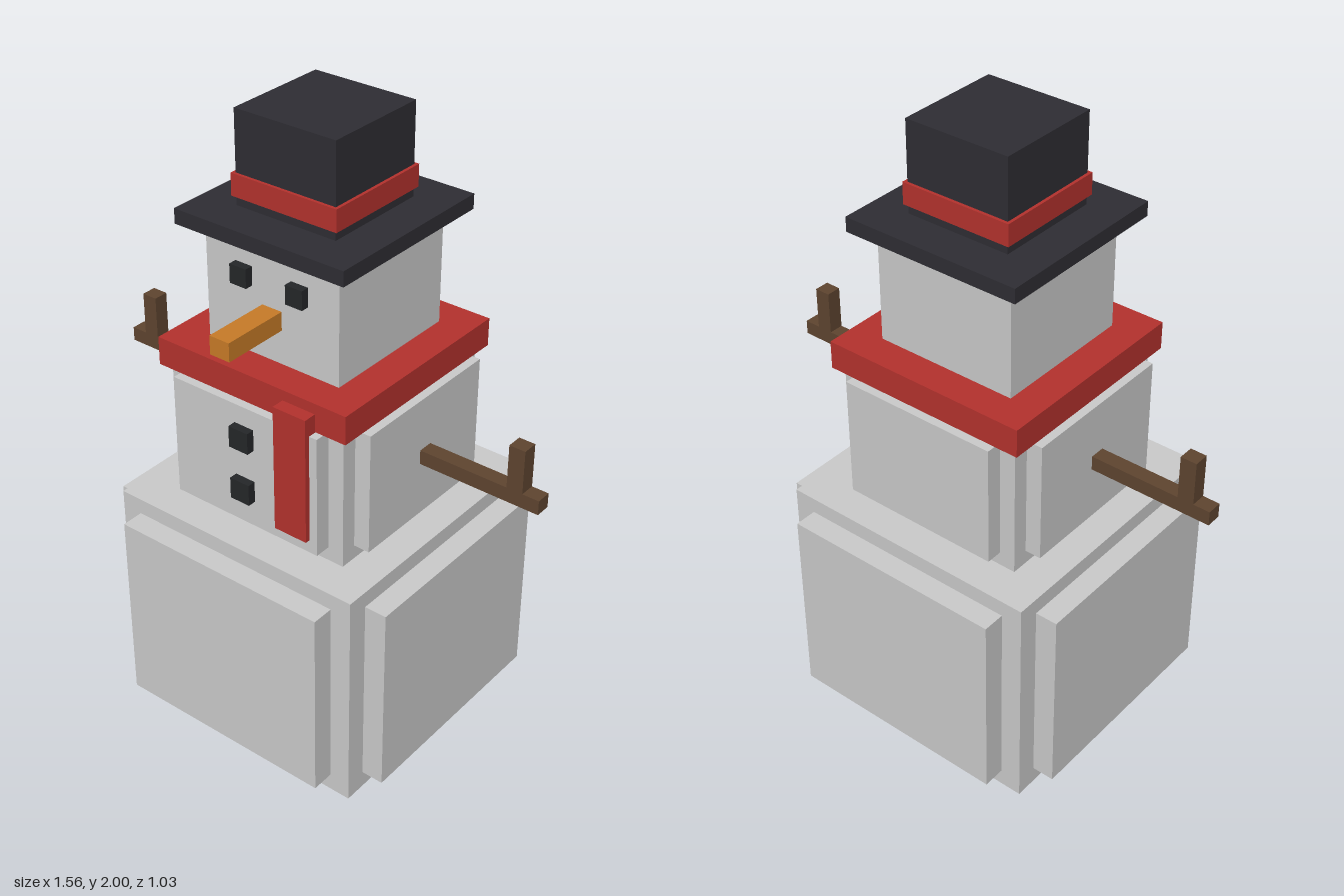
import * as THREE from 'three';

const mat = (color) => new THREE.MeshStandardMaterial({ color, flatShading: true });

export function createModel() {
  const model = new THREE.Group();
  model.name = 'snowman';

  const snow = mat(0xcccccc);
  const red = mat(0xb5322e);
  const hatBlack = mat(0x2f2e34);
  const coal = mat(0x252729);
  const carrot = mat(0xc97c28);
  const wood = mat(0x5f4530);

  // Box given by its bounds on each axis
  function box(name, material, [x0, x1], [y0, y1], [z0, z1], parent = model) {
    const mesh = new THREE.Mesh(new THREE.BoxGeometry(x1 - x0, y1 - y0, z1 - z0), material);
    mesh.position.set((x0 + x1) / 2, (y0 + y1) / 2, (z0 + z1) / 2);
    mesh.name = name;
    parent.add(mesh);
    return mesh;
  }

  // Square block centred on the vertical axis
  const block = (name, material, half, y, parent) =>
    box(name, material, [-half, half], y, [-half, half], parent);

  // Snow block with a raised panel on each of its four sides
  function snowBlock(name, half, y, panelHalf, panelOut, panelY) {
    const group = new THREE.Group();
    group.name = name;
    block(name + 'Core', snow, half, y, group);
    for (let i = 0; i < 4; i++) {
      const pivot = new THREE.Group();
      pivot.rotation.y = (i * Math.PI) / 2;
      box(name + 'Panel', snow, [-panelHalf, panelHalf], panelY, [half, panelOut], pivot);
      group.add(pivot);
    }
    model.add(group);
  }

  // Body and head
  snowBlock('lowerBody', 0.443, [0, 0.757], 0.373, 0.516, [0.057, 0.704]);
  snowBlock('upperBody', 0.32, [0.757, 1.22], 0.267, 0.373, [0.803, 1.203]);
  block('head', snow, 0.24, [1.22, 1.66]);

  // Scarf with hanging tail
  block('scarf', red, 0.347, [1.205, 1.297]);
  box('scarfTail', red, [0.124, 0.24], [0.847, 1.263], [0.34, 0.39]);

  // Hat
  block('hatBrim', hatBlack, 0.301, [1.66, 1.708]);
  block('hatCrown', hatBlack, 0.177, [1.708, 2]);
  block('hatBand', red, 0.187, [1.738, 1.808]);

  // Face and buttons
  box('nose', carrot, [-0.035, 0.035], [1.407, 1.467], [0.23, 0.463]);
  for (const y of [0.926, 1.105]) {
    box('button', coal, [-0.035, 0.035], [y - 0.035, y + 0.035], [0.36, 0.4]);
  }

  // Mirrored eyes and stick arms
  for (const [side, s] of [['left', 1], ['right', -1]]) {
    const span = (a, b) => (s > 0 ? [a, b] : [-b, -a]);
    box(side + 'Eye', coal, span(0.071, 0.131), [1.515, 1.576], [0.23, 0.267]);
    box(side + 'Arm', wood, span(0.34, 0.78), [0.983, 1.03], [-0.025, 0.025]);
    box(side + 'Twig', wood, span(0.672, 0.725), [1.03, 1.173], [-0.025, 0.025]);
  }

  return model;
}
